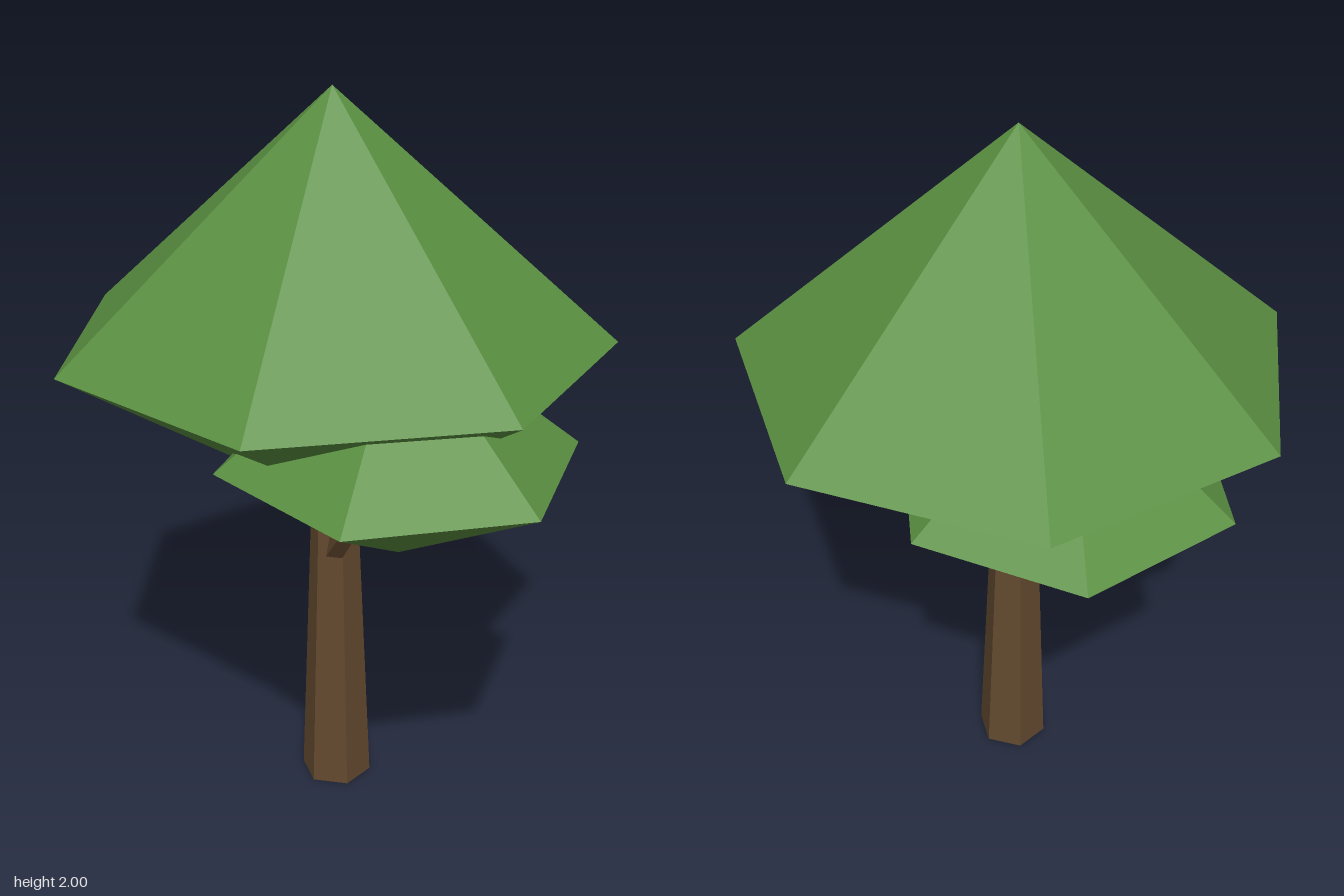
import * as THREE from 'three';

export function createModel() {
  const tree = new THREE.Group();
  tree.name = 'tree';

  const leaf = new THREE.MeshStandardMaterial({ color: 0x5a8f41, flatShading: true });
  leaf.name = 'leaf green';
  const bark = new THREE.MeshStandardMaterial({ color: 0x62492e, flatShading: true });
  bark.name = 'bark brown';

  function add(name, geometry, material, x, y, z) {
    const mesh = new THREE.Mesh(geometry, material);
    mesh.name = name;
    mesh.position.set(x, y, z);
    tree.add(mesh);
    return mesh;
  }

  // Foliage: a faceted double cone whose widest ring sits at the given height
  function foliage(name, [x, y, z], radius, up, down, sides, turn) {
    const profile = [
      new THREE.Vector2(0, -down),
      new THREE.Vector2(radius, 0),
      new THREE.Vector2(0, up),
    ];
    const phi = THREE.MathUtils.degToRad(turn);
    add(name, new THREE.LatheGeometry(profile, sides, phi), leaf, x, y, z);
  }

  // Branch: a tapered stick between two points
  function branch(name, from, to) {
    const a = new THREE.Vector3(...from);
    const b = new THREE.Vector3(...to);
    const dir = b.clone().sub(a);
    const geometry = new THREE.CylinderGeometry(0.02, 0.036, dir.length(), 5);
    const mid = a.add(b).multiplyScalar(0.5);
    const mesh = add(name, geometry, bark, mid.x, mid.y, mid.z);
    mesh.quaternion.setFromUnitVectors(new THREE.Vector3(0, 1, 0), dir.normalize());
  }

  // Trunk
  add('trunk', new THREE.CylinderGeometry(0.065, 0.1, 0.87, 6), bark, -0.05, 0.435, 0.037);

  // Branches reaching into the side foliage
  branch('leftBranch', [-0.03, 0.74, 0.06], [0.29, 1.14, 0.2]);
  branch('rightBranch', [-0.07, 0.78, 0.02], [-0.35, 1.17, -0.11]);

  // Crown and the two smaller side clumps
  foliage('crown', [-0.05, 1.35, 0.035], 0.735, 0.65, 0.475, 7, 180);
  foliage('leftFoliage', [0.32, 1.18, 0.21], 0.455, 0.37, 0.26, 6, 23);
  foliage('rightFoliage', [-0.37, 1.24, -0.12], 0.435, 0.35, 0.255, 6, 51.6);

  return tree;
}
